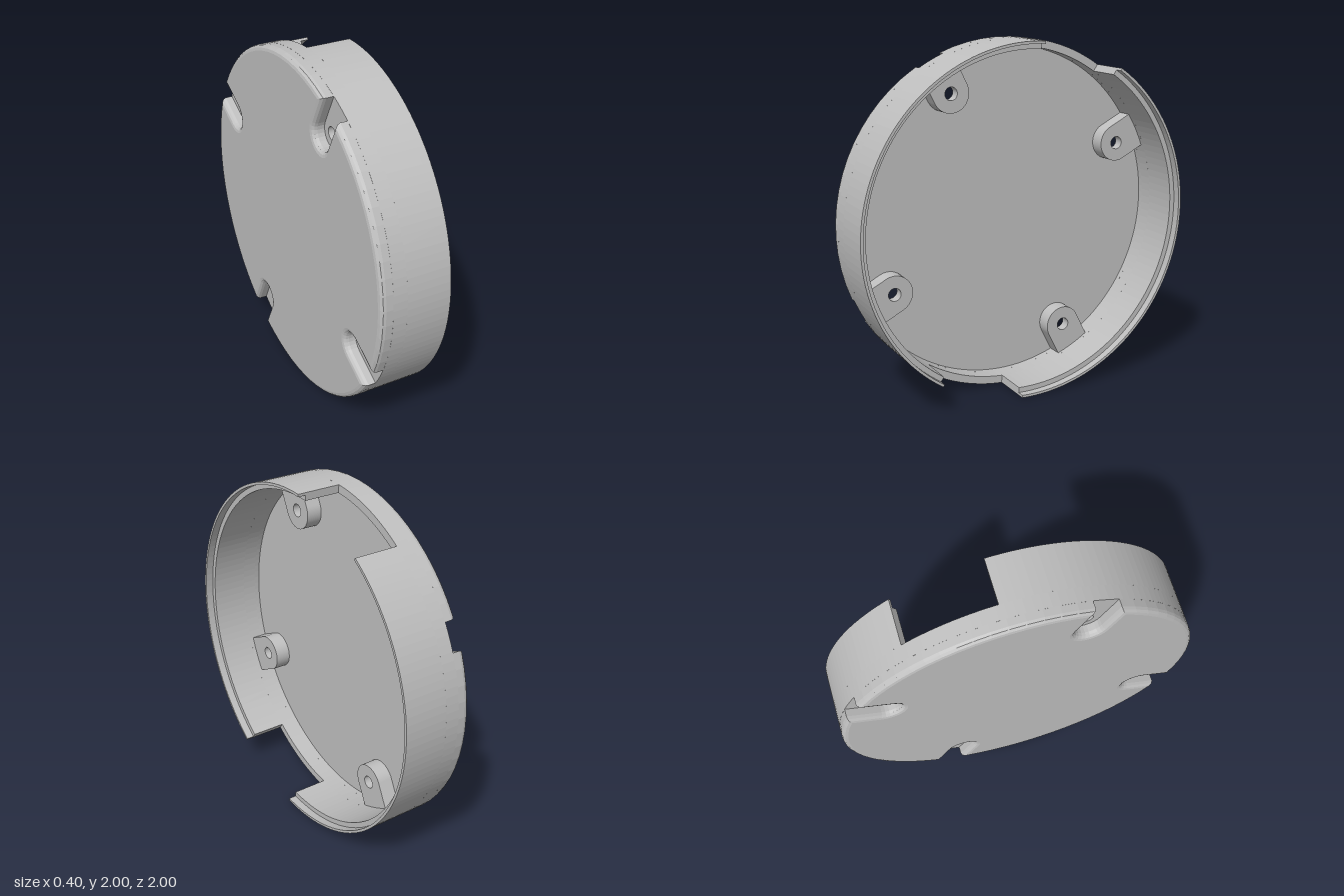
import * as THREE from 'three';

const RAD = Math.PI / 180;
const WALL_IN = 0.955;       // inner wall radius
const LIP_IN = 0.985;        // inner radius of the thin lip
const BACK = -0.2, FLOOR = -0.16, SLOT_TOP = -0.13, BOSS_TOP = -0.07, NOTCH = -0.05, SHELF = 0.155, FRONT = 0.2;
const SLOT_W = 0.078, BOSS_W = 0.107, BOSS_R = 0.8, HOLE_R = 0.037;
const FIRST = 26.6;          // angle of the first boss, in degrees
const ANGLES = [0, 1, 2, 3].map(k => FIRST + 90 * k);

// Disc outline with four open slots, shrunk by e
function slottedDisc(e) {
  const R = 1 - e, w = SLOT_W + e, half = Math.asin(w / R), pts = [];
  for (const deg of ANGLES) {
    const a = deg * RAD;
    for (let i = 0; i <= 12; i++) {
      const t = (-90 + 15 * i) * RAD;
      pts.push(new THREE.Vector2(BOSS_R - w * Math.cos(t), w * Math.sin(t)).rotateAround(new THREE.Vector2(), a));
    }
    const from = a + half, span = Math.PI / 2 - 2 * half;
    for (let i = 0; i <= 16; i++) {
      const t = from + span * i / 16;
      pts.push(new THREE.Vector2(R * Math.cos(t), R * Math.sin(t)));
    }
  }
  return pts;
}

// Skin through outlines stacked along the axis
function loft(layers) {
  const pos = [], idx = [], n = slottedDisc(0).length;
  for (const [z, e] of layers) for (const p of slottedDisc(e)) pos.push(p.x, p.y, z);
  for (let k = 0; k < layers.length - 1; k++) {
    for (let i = 0; i < n; i++) {
      const j = (i + 1) % n, a = k * n + i, b = k * n + j;
      idx.push(a, b, b + n, a, b + n, a + n);
    }
  }
  const g = new THREE.BufferGeometry();
  g.setAttribute('position', new THREE.Float32BufferAttribute(pos, 3));
  g.setIndex(idx);
  g.computeVertexNormals();
  return g;
}

function extrude(shape, z0, z1, segments = 24) {
  const g = new THREE.ExtrudeGeometry(shape, { depth: z1 - z0, bevelEnabled: false, curveSegments: segments });
  return g.translate(0, 0, z0);
}

// Part of a ring between two angles in degrees
function sector(rIn, rOut, from, to) {
  const s = new THREE.Shape();
  s.absarc(0, 0, rOut, from * RAD, to * RAD, false);
  s.absarc(0, 0, rIn, to * RAD, from * RAD, true);
  return s;
}

export function createModel() {
  const grey = new THREE.MeshStandardMaterial({ color: 0xbfbfbf, flatShading: true });
  grey.name = 'grey plastic';
  const model = new THREE.Group();
  model.name = 'roundHousing';
  const body = new THREE.Group();
  body.name = 'body';
  const add = (name, geometry, parent = body) => {
    const mesh = new THREE.Mesh(geometry, grey);
    mesh.name = name;
    parent.add(mesh);
    return mesh;
  };

  // Rounded back edge and slot walls
  const r = 0.03, layers = [0, 30, 60, 90].map(d =>
    [BACK + r * (1 - Math.cos(d * RAD)), r * (1 - Math.sin(d * RAD))]);
  add('backEdge', loft([...layers, [SLOT_TOP, 0]]));

  // Back face, turned to look outwards, and the inner floor
  const back = new THREE.ShapeGeometry(new THREE.Shape(slottedDisc(r))).translate(0, 0, BACK);
  back.index.array.reverse();
  back.computeVertexNormals();
  add('backFace', back);
  add('innerFloor', new THREE.ShapeGeometry(new THREE.Shape(slottedDisc(0))).translate(0, 0, FLOOR));

  // Wall foot between the slots
  for (const a of ANGLES) {
    add('wallFoot', extrude(sector(WALL_IN, 0.99, a + 5.5, a + 84.5), FLOOR - 0.01, SLOT_TOP, 16));
  }

  // Full wall ring
  const ring = new THREE.Shape().absarc(0, 0, 1, 0, Math.PI * 2, false);
  ring.holes.push(new THREE.Path().absarc(0, 0, WALL_IN, 0, Math.PI * 2, true));
  add('wallRing', extrude(ring, SLOT_TOP, NOTCH, 72));

  // Upper wall and thin lip, broken by two notches
  for (const [from, to] of [[86, 236], [266, 416]]) {
    add('upperWall', extrude(sector(WALL_IN, 1, from, to), NOTCH, SHELF, 30));
    add('lip', extrude(sector(LIP_IN, 1, from, to), SHELF, FRONT, 30));
  }

  // Screw bosses: hollow foot over the slot and a drilled cap
  const END = 0.97;
  const foot = new THREE.Shape();
  foot.moveTo(END, BOSS_W);
  foot.lineTo(BOSS_R, BOSS_W);
  foot.absarc(BOSS_R, 0, BOSS_W, Math.PI / 2, Math.PI * 1.5, false);
  foot.lineTo(END, -BOSS_W);
  foot.lineTo(END, -SLOT_W);
  foot.lineTo(BOSS_R, -SLOT_W);
  foot.absarc(BOSS_R, 0, SLOT_W, Math.PI * 1.5, Math.PI / 2, true);
  foot.lineTo(END, SLOT_W);
  const cap = new THREE.Shape();
  cap.moveTo(END, BOSS_W);
  cap.lineTo(BOSS_R, BOSS_W);
  cap.absarc(BOSS_R, 0, BOSS_W, Math.PI / 2, Math.PI * 1.5, false);
  cap.lineTo(END, -BOSS_W);
  cap.holes.push(new THREE.Path().absarc(BOSS_R, 0, HOLE_R, 0, Math.PI * 2, true));
  const footGeo = extrude(foot, FLOOR, SLOT_TOP), capGeo = extrude(cap, SLOT_TOP, BOSS_TOP);
  for (const a of ANGLES) {
    const boss = new THREE.Group();
    boss.name = 'screwBoss';
    add('bossFoot', footGeo, boss);
    add('bossCap', capGeo, boss);
    boss.rotation.z = a * RAD;
    body.add(boss);
  }

  // Turn the axis to x and stand the housing on its edge
  body.rotation.y = Math.PI / 2;
  body.position.y = 1;
  model.add(body);
  return model;
}
